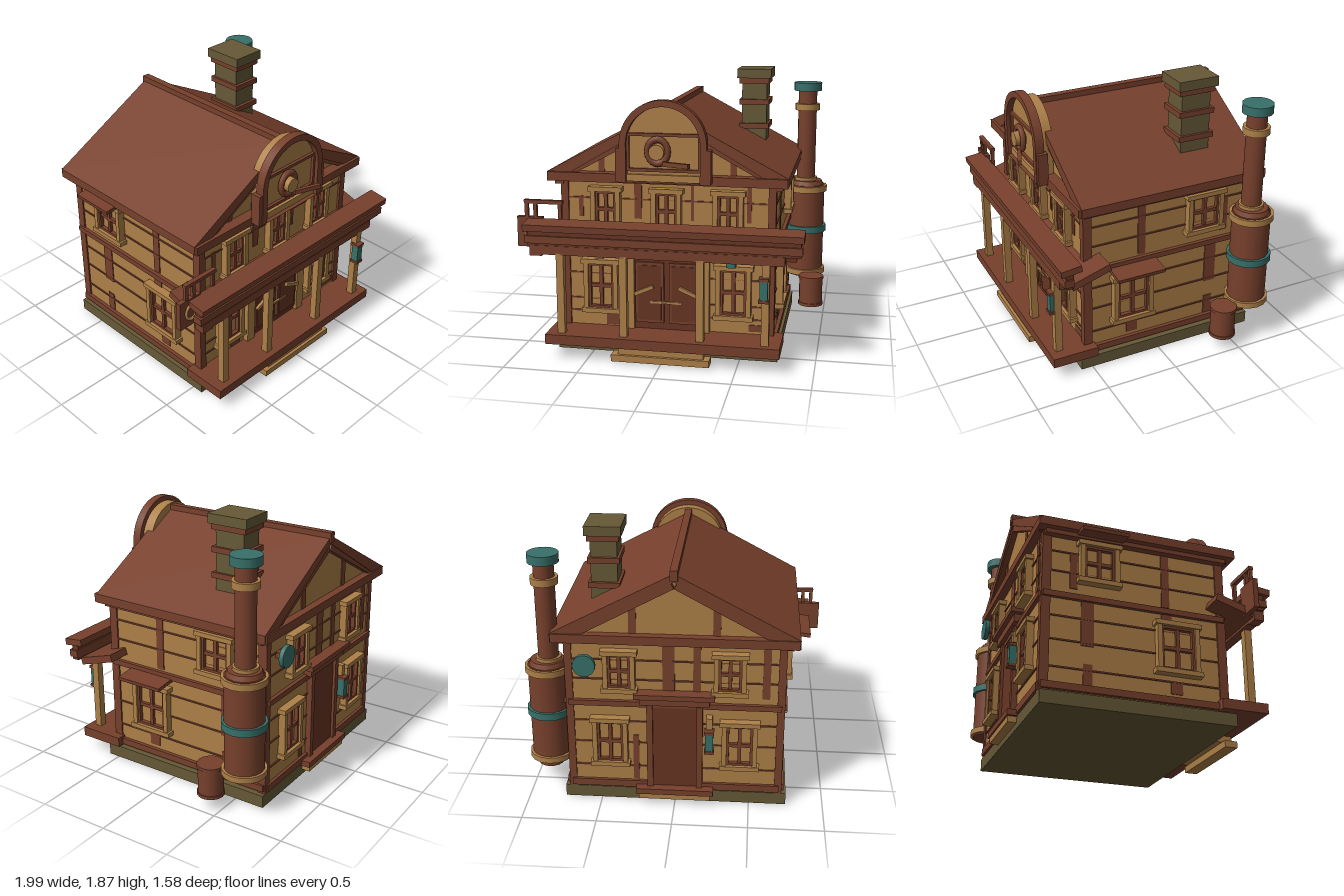
import * as THREE from 'three';

const mat = (name, color) => {
  const m = new THREE.MeshStandardMaterial({ color });
  m.name = name;
  return m;
};

export function createModel() {
  const tan = mat('tanWood', 0xae8048), brown = mat('redBrownWood', 0x77402c), dark = mat('darkDoorWood', 0x683523),
    olive = mat('oliveStone', 0x665937), teal = mat('tealMetal', 0x38706a);
  const model = new THREE.Group();
  model.name = 'timberHouse';

  const add = (parent, name, geo, m, x = 0, y = 0, z = 0) => {
    const mesh = new THREE.Mesh(geo, m);
    mesh.name = name;
    mesh.position.set(x, y, z);
    parent.add(mesh);
    return mesh;
  };
  // Box given by its limits on each axis
  const box = (p, name, m, x0, x1, y0, y1, z0, z1) =>
    add(p, name, new THREE.BoxGeometry(x1 - x0, y1 - y0, z1 - z0), m, (x0 + x1) / 2, (y0 + y1) / 2, (z0 + z1) / 2);
  const cyl = (p, name, m, r, y0, y1, x, z, r2 = r) =>
    add(p, name, new THREE.CylinderGeometry(r2, r, y1 - y0, 16), m, x, (y0 + y1) / 2, z);
  const group = (p, name, x = 0, y = 0, z = 0, ry = 0) => {
    const g = new THREE.Group();
    g.name = name;
    g.position.set(x, y, z);
    g.rotation.y = ry;
    p.add(g);
    return g;
  };
  const poly = (pts) => new THREE.Shape(pts.map(([x, y]) => new THREE.Vector2(x, y)));
  const slab = (p, name, m, shape, z0, z1) =>
    add(p, name, new THREE.ExtrudeGeometry(shape, { depth: z1 - z0, bevelEnabled: false, curveSegments: 20 }), m, 0, 0, z0);

  // Foundation, walls and roof
  box(model, 'foundation', olive, -0.75, 0.75, 0.005, 0.09, -0.71, 0.58);
  slab(model, 'walls', tan, poly([[-0.71, 0.09], [0.71, 0.09], [0.71, 1.21], [0, 1.6], [-0.71, 1.21]]), -0.7, 0.53);
  slab(model, 'roof', brown,
    poly([[-0.8, 1.18], [-0.74, 1.18], [0, 1.61], [0.74, 1.18], [0.8, 1.18], [0.8, 1.24], [0, 1.665], [-0.8, 1.24]]), -0.745, 0.585);
  box(model, 'ridgeBeam', brown, -0.025, 0.025, 1.62, 1.69, -0.755, 0.6);
  for (const [z0, z1] of [[0.5, 0.605], [-0.755, -0.68]]) box(model, 'gableBeam', brown, -0.795, 0.795, 1.18, 1.24, z0, z1);
  for (const s of [-1, 1]) {
    const eave = box(model, 'eaveBeam', brown, -0.03, 0.03, 1.15, 1.2, -0.7, 0.55);
    eave.position.x = s * 0.73;
    // Inner rafters on both gables
    for (const z of [0.55, -0.715]) {
      const rafter = add(model, 'rafter', new THREE.BoxGeometry(0.82, 0.04, 0.05), brown, s * 0.37, 1.385, z);
      rafter.rotation.z = -s * 0.5;
    }
    for (const z of [0.515, -0.68]) {
      const post = box(model, 'cornerPost', brown, -0.025, 0.025, 0.09, 1.2, z - 0.03, z + 0.03);
      post.position.x = s * 0.695;
    }
  }

  // Window facing +z, centred on the group
  const windowAt = (p, x, y, w, h) => {
    const g = group(p, 'window', x, y, 0);
    const a = w / 2, b = h / 2, t = 0.032;
    box(g, 'pane', tan, -a, a, -b, b, 0, 0.008);
    for (const s of [-1, 1]) {
      box(g, 'frameSide', tan, s * (a - t / 2) - t / 2, s * (a - t / 2) + t / 2, -b, b, 0, 0.05);
      box(g, 'frameRail', tan, -a - 0.015, a + 0.015, s * (b - t / 2) - t / 2, s * (b - t / 2) + t / 2, 0, 0.058);
      box(g, 'sashSide', brown, s * (a - t - 0.008) - 0.008, s * (a - t - 0.008) + 0.008, -b + t, b - t, 0, 0.035);
      box(g, 'sashRail', brown, -a + t, a - t, s * (b - t - 0.008) - 0.008, s * (b - t - 0.008) + 0.008, 0, 0.035);
    }
    box(g, 'mullion', brown, -0.012, 0.012, -b + t, b - t, 0, 0.03);
    box(g, 'crossbar', brown, -a + t, a - t, -0.012, 0.012, 0, 0.03);
  };
  const plate = (p, x0, x1, y0, y1) => box(p, 'timberInlay', brown, x0, x1, y0, y1, 0, 0.006);
  const seams = (p, w, ys) => ys.forEach((y) => box(p, 'plankSeam', brown, -w, w, y - 0.005, y + 0.005, 0, 0.008));
  const lantern = (p, x, y, z) => {
    const g = group(p, 'lantern', x, y, z);
    box(g, 'lanternGlass', teal, -0.026, 0.026, -0.065, 0.065, -0.026, 0.026);
    for (const s of [-1, 1]) box(g, 'lanternCap', brown, -0.032, 0.032, s * 0.072 - 0.01, s * 0.072 + 0.01, -0.032, 0.032);
  };
  const awning = (p, x, y, w, d) => {
    const a = add(p, 'windowAwning', new THREE.BoxGeometry(w, 0.025, d), brown, x, y, d / 2);
    a.rotation.x = 0.12;
    return a;
  };

  // Front wall
  const front = group(model, 'frontWall', 0, 0, 0.53);
  for (const x of [-0.45, 0.45]) windowAt(front, x, 0.46, 0.235, 0.375);
  for (const x of [-0.41, 0, 0.41]) windowAt(front, x, 0.99, 0.2, 0.31);
  seams(front, 0.67, [0.27, 0.36, 0.54, 1.06]);
  for (const r of [[-0.22, -0.17, 0.93, 1.18], [0.16, 0.18, 0.93, 1.18], [-0.42, -0.33, 0.18, 0.28], [0.55, 0.67, 0.19, 0.235],
    [-0.6, -0.57, 0.93, 1.07], [0.53, 0.56, 0.93, 1.18], [-0.46, -0.42, 1.2, 1.4], [0.42, 0.46, 1.2, 1.4]]) plate(front, ...r);
  box(front, 'doorway', dark, -0.23, 0.23, 0.15, 0.72, 0, 0.015);
  for (const s of [-1, 1]) {
    box(front, 'doorPost', tan, s * 0.255 - 0.035, s * 0.255 + 0.035, 0.17, 0.72, 0, 0.04);
    const leaf = group(front, 'doorLeaf', s * 0.115, 0.43, 0.015);
    box(leaf, 'doorPanel', brown, -0.097, 0.097, -0.21, 0.21, 0, 0.018);
    box(leaf, 'doorInset', dark, -0.08, 0.08, -0.19, 0.19, 0.018, 0.024);
    const handle = add(front, 'doorHandle', new THREE.BoxGeometry(0.14, 0.025, 0.02), tan, s * 0.15, 0.45, 0.05);
    handle.rotation.z = -s * 0.42;
  }
  box(front, 'doorLatch', tan, -0.11, 0.1, 0.36, 0.375, 0.03, 0.045);
  box(front, 'wallLampShade', teal, 0.41, 0.47, 0.65, 0.74, 0.045, 0.105);
  box(front, 'wallLampBase', tan, -0.48, -0.42, 0.66, 0.72, 0.0, 0.08);

  // Side walls
  for (const s of [1, -1]) {
    const side = group(model, s > 0 ? 'leftWall' : 'rightWall', s * 0.71, 0, 0, s * Math.PI / 2);
    windowAt(side, -s * 0.195, 0.48, 0.29, 0.36);
    windowAt(side, s * 0.335, 0.99, 0.265, 0.3);
    if (s > 0) awning(side, -0.195, 0.71, 0.34, 0.16);
    else awning(side, -0.335, 1.175, 0.31, 0.16);
    const belt = group(side, 'sideBelts', s * 0.085);
    box(belt, 'middleBelt', brown, -0.615, 0.615, 0.72, 0.758, 0, 0.025);
    box(belt, 'lowerBelt', brown, -0.615, 0.615, 0.11, 0.155, 0, 0.025);
    seams(belt, 0.6, [0.26, 0.44, 0.6, 0.91, 1.05]);
    for (const [c, w, y0, y1] of [[-0.125, 0.055, 0.77, 1.18], [-0.13, 0.07, 0.44, 0.72], [0.405, 0.085, 0.42, 0.72],
      [0.4, 0.06, 0.16, 0.3], [-0.19, 0.08, 0.18, 0.26], [0.5, 0.05, 0.8, 1.05]])
      plate(side, s * c - w / 2, s * c + w / 2, y0, y1);
  }

  // Back wall with door, hood and step
  const back = group(model, 'backWall', 0, 0, -0.7, Math.PI);
  for (const s of [-1, 1]) {
    windowAt(back, s * 0.43, 0.46, 0.235, 0.36);
    windowAt(back, s * 0.36, 0.98, 0.21, 0.3);
    box(back, 'backDoorPost', brown, s * 0.165 - 0.02, s * 0.165 + 0.02, 0.12, 0.74, 0, 0.04);
    plate(back, s * 0.27 - 0.025, s * 0.27 + 0.025, 1.2, 1.47);
  }
  box(back, 'backDoor', dark, -0.145, 0.145, 0.12, 0.72, 0, 0.02);
  box(back, 'backBelt', brown, -0.7, 0.7, 0.72, 0.758, 0, 0.025);
  box(back, 'backLowerBelt', brown, -0.7, 0.7, 0.1, 0.15, 0, 0.02);
  box(back, 'doorHood', brown, -0.265, 0.265, 0.805, 0.84, 0, 0.085);
  box(back, 'doorHoodBeam', brown, -0.23, 0.23, 0.75, 0.805, 0, 0.055);
  box(back, 'backStep', brown, -0.26, 0.26, 0.085, 0.125, 0, 0.08);
  box(back, 'backLowerStep', tan, -0.24, 0.24, 0.045, 0.085, 0, 0.07);
  seams(back, 0.67, [0.26, 0.44, 0.6, 0.91, 1.05]);
  for (const r of [[-0.08, 0, 0.84, 1.18], [0.12, 0.17, 0.84, 1.18], [0.57, 0.62, 0.8, 1.18], [-0.28, -0.24, 0.16, 0.5]]) plate(back, ...r);
  lantern(back, 0.23, 0.5, 0.055);
  box(back, 'lanternBracket', tan, 0.21, 0.25, 0.59, 0.67, 0, 0.06);
  const vent = add(back, 'roundVent', new THREE.CylinderGeometry(0.075, 0.075, 0.03, 16), teal, -0.58, 1.035, 0.07);
  vent.rotation.x = Math.PI / 2;
  box(back, 'ventStem', brown, -0.6, -0.56, 1.015, 1.055, 0, 0.06);

  // Porch: deck, steps, posts and canopy
  const porch = group(model, 'porch');
  box(porch, 'deck', brown, -0.78, 0.78, 0.105, 0.172, 0.47, 0.79);
  box(porch, 'lowerStep', tan, -0.33, 0.325, 0.015, 0.06, 0.7, 0.79);
  box(porch, 'upperStep', tan, -0.285, 0.285, 0.06, 0.105, 0.58, 0.77);
  for (const x of [-0.68, -0.255, 0.255, 0.68]) {
    box(porch, 'porchPost', tan, x - 0.025, x + 0.025, 0.17, 0.72, 0.695, 0.745);
  }
  lantern(porch, 0.67, 0.55, 0.745);
  box(porch, 'canopyBeam', brown, -0.8, 0.8, 0.71, 0.77, 0.675, 0.745);
  box(porch, 'beamEnd', brown, -0.885, -0.8, 0.7, 0.77, 0.675, 0.745);
  box(porch, 'canopyFascia', brown, -0.915, 0.91, 0.785, 0.835, 0.69, 0.755);
  box(porch, 'canopyGutter', dark, -0.9, 0.9, 0.765, 0.875, 0.69, 0.74);
  const cap = add(porch, 'canopyCap', new THREE.BoxGeometry(1.84, 0.045, 0.14), brown, 0, 0.9, 0.71);
  cap.rotation.x = -0.12;
  cap.rotation.x = 0.12;
  const canopy = add(porch, 'canopyRoof', new THREE.BoxGeometry(1.74, 0.05, 0.28), brown, 0, 0.79, 0.555);
  canopy.rotation.x = 0.3;

  // Hanging sign and its rail
  const sign = group(model, 'hangingSign', 0, 0, 0.64);
  box(sign, 'signBoard', brown, -0.995, -0.82, 0.735, 0.94, -0.02, 0.015);
  const disc = add(sign, 'signDisc', new THREE.TorusGeometry(0.055, 0.012, 6, 20), tan, -0.9, 0.84, 0.015);
  disc.scale.x = 0.8;
  box(sign, 'signRail', brown, -0.945, -0.68, 1.03, 1.055, -0.015, 0.015);
  for (const x of [-0.93, -0.87, -0.7]) box(sign, 'signStrut', brown, x - 0.012, x + 0.012, 0.9, 1.04, -0.012, 0.012);

  // Arched front gable
  const arch = (r, y0) => {
    const s = new THREE.Shape();
    s.moveTo(-r, y0);
    s.lineTo(r, y0);
    s.lineTo(r, 1.45);
    s.absarc(0, 1.45, r, 0, Math.PI, false);
    s.lineTo(-r, y0);
    return s;
  };
  const gable = group(model, 'archedGable');
  slab(gable, 'archPanel', tan, arch(0.25, 1.2), 0.54, 0.63);
  const ring = arch(0.285, 1.2);
  ring.holes.push(arch(0.242, 1.201));
  slab(gable, 'archTrim', brown, ring, 0.615, 0.675);
  for (const s of [-1, 1]) box(gable, 'archFoot', brown, s * 0.287 - 0.025, s * 0.287 + 0.025, 1.2, 1.42, 0.6, 0.67);
  box(gable, 'archSill', tan, -0.28, 0.28, 1.205, 1.25, 0.6, 0.65);
  for (const s of [-1, 1]) {
    box(gable, 'panelRail', brown, -0.245, 0.245, 1.395 + s * 0.115 - 0.01, 1.395 + s * 0.115 + 0.01, 0.62, 0.65);
    box(gable, 'panelStile', brown, s * 0.235 - 0.01, s * 0.235 + 0.01, 1.28, 1.51, 0.62, 0.65);
  }
  const hoop = add(gable, 'emblemRing', new THREE.TorusGeometry(0.068, 0.02, 8, 20), brown, -0.035, 1.405, 0.66);
  hoop.scale.y = 1.15;
  const boss = add(gable, 'emblemCentre', new THREE.CylinderGeometry(0.05, 0.05, 0.08, 16), tan, -0.035, 1.405, 0.665);
  boss.rotation.x = Math.PI / 2;
  const bar = add(gable, 'emblemBar', new THREE.BoxGeometry(0.19, 0.03, 0.025), brown, 0.095, 1.33, 0.715);
  bar.rotation.y = -0.35;

  // Stone chimney
  const chimney = group(model, 'chimney', 0.48, 0, -0.335);
  box(chimney, 'chimneyShaft', olive, -0.088, 0.088, 1.35, 1.82, -0.105, 0.105);
  box(chimney, 'chimneyCap', olive, -0.12, 0.12, 1.805, 1.87, -0.143, 0.143);
  for (const y of [1.785, 1.635, 1.465]) box(chimney, 'chimneyBand', brown, -0.105, 0.105, y - 0.019, y + 0.019, -0.128, 0.128);

  // Boiler with smoke pipe, and a small barrel
  const boiler = group(model, 'boiler');
  const bx = 0.845, bz = -0.63;
  cyl(boiler, 'boilerTank', brown, 0.132, 0.285, 0.98, bx, bz);
  for (const [m, y0, y1] of [[tan, 0.295, 0.335], [teal, 0.62, 0.67], [tan, 0.93, 0.975]]) cyl(boiler, 'boilerBand', m, 0.15, y0, y1, bx, bz);
  cyl(boiler, 'boilerLid', brown, 0.125, 0.975, 1.012, bx, bz, 0.11);
  cyl(boiler, 'pipeCollar', tan, 0.085, 1.01, 1.035, 0.835, bz);
  cyl(boiler, 'smokePipe', brown, 0.068, 1.01, 1.7, 0.835, bz);
  cyl(boiler, 'pipeRing', tan, 0.09, 1.54, 1.588, 0.835, bz);
  cyl(boiler, 'pipeCap', teal, 0.102, 1.685, 1.745, 0.835, bz);
  cyl(boiler, 'barrel', brown, 0.086, 0.1, 0.315, 0.907, -0.413);
  for (const y of [0.1, 0.3]) cyl(boiler, 'barrelRim', brown, 0.092, y, y + 0.022, 0.907, -0.413);

  return model;
}
